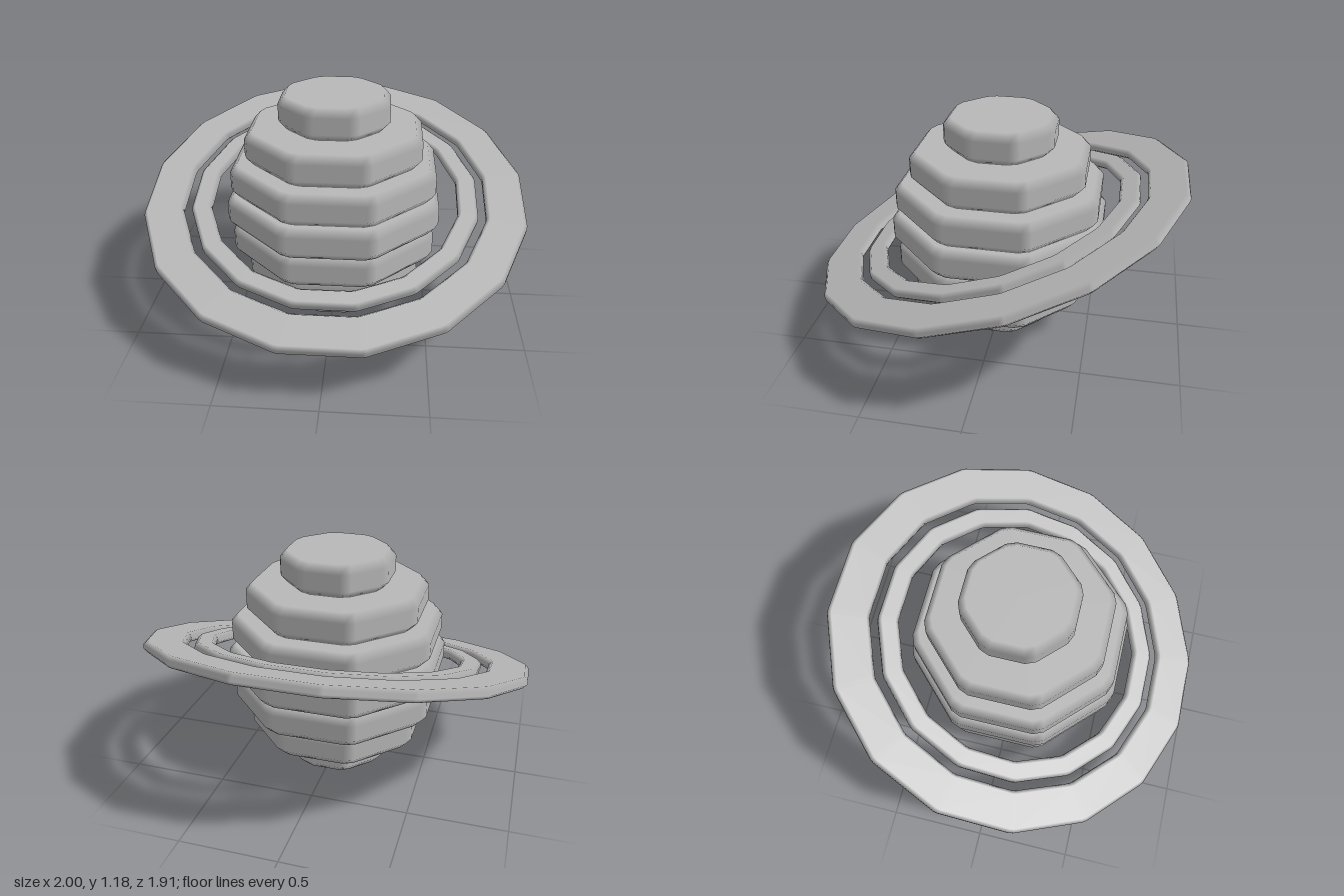
import * as THREE from 'three';

const UP = [0, 1], DOWN = [0, -1], OUT = [1, 0], IN = [-1, 0];

// Sweeps a profile of [radius, y, normal] around a regular polygon whose corners
// are cut by c. Flat sides keep flat normals, bevels blend between them.
function bevelledPolygon(profile, sides, c, closed) {
  const pos = [], nor = [], index = [];
  const tan = Math.tan(Math.PI / sides);
  const around = sides * 2, levels = profile.length;
  for (const [r, y, [nr, ny]] of profile) {
    const half = Math.max(0, r * tan - c);
    for (let k = 0; k < sides; k++) {
      const a = (k / sides) * Math.PI * 2, ca = Math.cos(a), sa = Math.sin(a);
      for (const t of [-half, half]) {
        pos.push(r * ca - t * sa, y, r * sa + t * ca);
        nor.push(nr * ca, ny, nr * sa);
      }
    }
  }
  for (let l = 0; l < (closed ? levels : levels - 1); l++) {
    const next = (l + 1) % levels;
    for (let i = 0; i < around; i++) {
      const j = (i + 1) % around;
      const a = l * around + i, b = next * around + i;
      const d = l * around + j, e = next * around + j;
      index.push(a, b, d, b, e, d);
    }
  }
  const g = new THREE.BufferGeometry();
  g.setAttribute('position', new THREE.Float32BufferAttribute(pos, 3));
  g.setAttribute('normal', new THREE.Float32BufferAttribute(nor, 3));
  g.setIndex(index);
  return g;
}

// Solid octagonal slab with bevelled rims
function slab(r, h) {
  const b = 0.035, v = 0.042, t = h / 2;
  return bevelledPolygon([
    [0, -t, DOWN], [r - b, -t, DOWN], [r, v - t, OUT],
    [r, t - v, OUT], [r - b, t, UP], [0, t, UP],
  ], 8, 0.03, false);
}

// Flat sixteen-sided ring with bevelled edges
function ring(inner, outer, thickness, b) {
  const t = thickness / 2;
  return bevelledPolygon([
    [outer - b, -t, DOWN], [outer, b - t, OUT], [outer, t - b, OUT], [outer - b, t, UP],
    [inner + b, t, UP], [inner, t - b, IN], [inner, b - t, IN], [inner + b, -t, DOWN],
  ], 16, 0.012, true);
}

export function createModel() {
  const model = new THREE.Group();
  model.name = 'ringedPlanet';
  const grey = new THREE.MeshStandardMaterial({ color: 0xb8b8b8 });
  grey.name = 'grey';

  const add = (parent, name, geometry, y = 0) => {
    const mesh = new THREE.Mesh(geometry, grey);
    mesh.name = name;
    mesh.position.y = y;
    parent.add(mesh);
  };

  // Planet: seven stacked slabs
  const planet = new THREE.Group();
  planet.name = 'planet';
  const pitch = 1.18 / 7;
  [0.282, 0.448, 0.523, 0.545, 0.523, 0.448, 0.282].forEach((r, i) =>
    add(planet, `planetLayer${i + 1}`, slab(r, pitch), (i + 0.5) * pitch));
  model.add(planet);

  // Rings: tilted so the front dips
  const rings = new THREE.Group();
  rings.name = 'rings';
  rings.position.y = 0.593;
  rings.rotation.x = 0.31;
  add(rings, 'outerRing', ring(0.795, 1, 0.056, 0.018));
  add(rings, 'innerRing', ring(0.65, 0.754, 0.056, 0.018));
  model.add(rings);

  return model;
}
